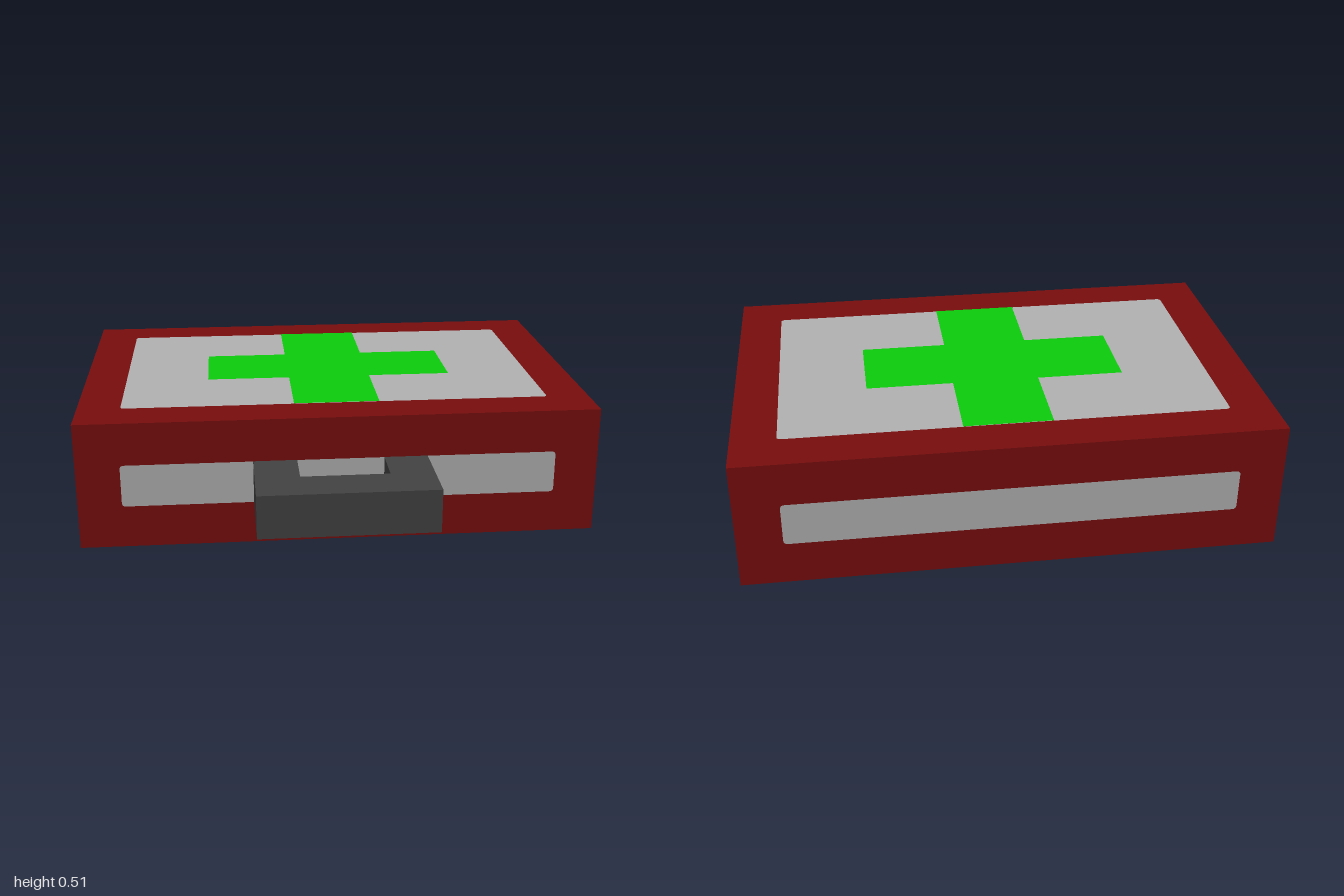
import * as THREE from 'three';

const U = 1 / 6; // design unit
const CZ = -U; // centre of the case along z

const mat = (name, color) => {
  const m = new THREE.MeshStandardMaterial({ color });
  m.name = name;
  return m;
};

// Rectangle with slightly softened corners
function panelShape(w, h, r = 0.016) {
  const s = new THREE.Shape(), x = w / 2, y = h / 2;
  s.moveTo(-x + r, -y);
  s.lineTo(x - r, -y);
  s.quadraticCurveTo(x, -y, x, -y + r);
  s.lineTo(x, y - r);
  s.quadraticCurveTo(x, y, x - r, y);
  s.lineTo(-x + r, y);
  s.quadraticCurveTo(-x, y, -x, y - r);
  s.lineTo(-x, -y + r);
  s.quadraticCurveTo(-x, -y, -x + r, -y);
  return s;
}

const polygon = (points) => new THREE.Shape(points.map(([x, y]) => new THREE.Vector2(x * U, y * U)));

export function createModel() {
  const red = mat('dark red', 0x780d0d);
  const grey = mat('light grey', 0xb1b1b1);
  const green = mat('bright green', 0x0dcc0d);
  const dark = mat('charcoal', 0x424242);

  const model = new THREE.Group();
  const add = (name, geometry, material, parent = model) => {
    const mesh = new THREE.Mesh(geometry, material);
    mesh.name = name;
    parent.add(mesh);
    return mesh;
  };

  // Case body
  add('caseBody', new THREE.BoxGeometry(12 * U, 3 * U, 8 * U), red).position.set(0, 1.5 * U, CZ);

  // Inlaid panels: name, width, height, distance from centre, rotation, has cross
  const cross = polygon([
    [-1, -3], [1, -3], [1, -1], [3, -1], [3, 1], [1, 1],
    [1, 3], [-1, 3], [-1, 1], [-3, 1], [-3, -1], [-1, -1],
  ]);
  const H = Math.PI / 2;
  const sides = [
    ['front', 10, 1, 4, [0, 0, 0]],
    ['back', 10, 1, 4, [0, Math.PI, 0]],
    ['left', 6, 1, 6, [0, H, 0]],
    ['right', 6, 1, 6, [0, -H, 0]],
    ['top', 10, 6, 1.5, [-H, 0, 0], true],
    ['bottom', 10, 6, 1.5, [H, 0, 0], true],
  ];
  for (const [name, w, h, d, rotation, hasCross] of sides) {
    const side = new THREE.Group();
    side.name = name + 'Side';
    side.position.set(0, 1.5 * U, CZ);
    side.rotation.set(...rotation);
    model.add(side);
    add(name + 'Panel', new THREE.ShapeGeometry(panelShape(w * U, h * U), 4), grey, side)
      .position.z = d * U + 0.0015;
    if (hasCross) {
      add(name + 'Cross', new THREE.ShapeGeometry(cross), green, side).position.z = d * U + 0.003;
    }
  }

  // U-shaped carrying handle, drawn in plan and extruded upwards
  const plan = polygon([[-2, -3], [-1, -3], [-1, -4], [1, -4], [1, -3], [2, -3], [2, -5], [-2, -5]]);
  const handle = add('handle', new THREE.ExtrudeGeometry(plan, { depth: U, bevelEnabled: false }), dark);
  handle.rotation.x = -H;
  handle.position.y = U;

  return model;
}
